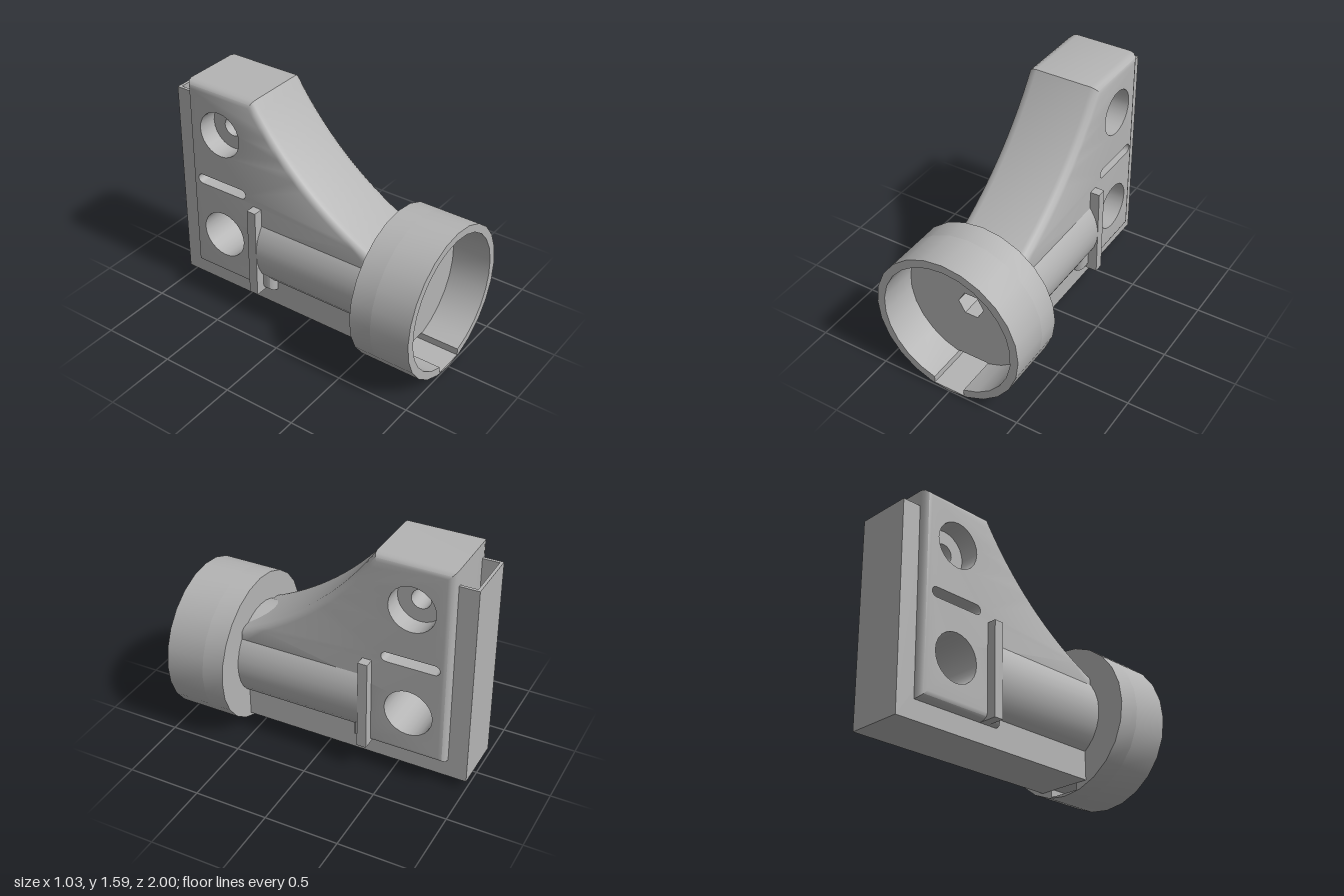
import * as THREE from 'three';
import { toCreasedNormals } from 'three/addons/utils/BufferGeometryUtils.js';

const V = (x, y) => new THREE.Vector2(x, y);

// points of a circular arc
function arc(cx, cy, r, n, from = 0, to = Math.PI * 2) {
  const full = to - from > 6.28;
  return Array.from({ length: full ? n : n + 1 }, (_, i) => {
    const a = from + (to - from) * i / n;
    return V(cx + r * Math.cos(a), cy + r * Math.sin(a));
  });
}

function shapeOf(points, holes = []) {
  const s = new THREE.Shape(points);
  s.holes = holes.map(h => new THREE.Path(h));
  return s;
}

// extrude a front-facing section from z0 to z1
function alongZ(points, holes, z0, z1) {
  return new THREE.ExtrudeGeometry(shapeOf(points, holes), { depth: z1 - z0, bevelEnabled: false }).translate(0, 0, z0);
}

// extrude a side profile (given as -z, y) from x0 to x1
function alongX(points, holes, x0, x1) {
  return new THREE.ExtrudeGeometry(shapeOf(points, holes), { depth: x1 - x0, bevelEnabled: false })
    .rotateY(Math.PI / 2).translate(x0, 0, 0);
}

// move every edge of a counter-clockwise outline inwards by d
function inset(points, d) {
  return points.map((p, i) => {
    const a = points[(i + points.length - 1) % points.length];
    const b = points[(i + 1) % points.length];
    const e = p.clone().sub(a).normalize(), f = b.clone().sub(p).normalize();
    const n1 = V(-e.y, e.x), n2 = V(-f.y, f.x);
    const k = d / (1 + n1.dot(n2));
    return V(p.x + (n1.x + n2.x) * k, p.y + (n1.y + n2.y) * k);
  });
}

// plate across x with rounded outer edges and straight holes
function roundedPlate(points, holes, half, rx, ry) {
  const g = new THREE.ExtrudeGeometry(shapeOf(points, holes), { depth: 7, steps: 7, bevelEnabled: false });
  const levels = [0, 1, 2, 3].map(i => {
    const t = i * Math.PI / 6;
    return { x: half - rx + rx * Math.sin(t), ring: inset(points, ry * (1 - Math.cos(t))) };
  });
  const p = g.attributes.position;
  for (let i = 0; i < p.count; i++) {
    const k = Math.round(p.getZ(i));
    const level = levels[k > 3 ? k - 4 : 3 - k];
    const j = points.findIndex(q => Math.hypot(q.x - p.getX(i), q.y - p.getY(i)) < 1e-4);
    if (j >= 0) p.setXY(i, level.ring[j].x, level.ring[j].y);
    p.setZ(i, k > 3 ? level.x : -level.x);
  }
  return g.rotateY(Math.PI / 2);
}

function box(w, h, d, x, y, z) {
  return new THREE.BoxGeometry(w, h, d).translate(x, y, z);
}

export function createModel() {
  const group = new THREE.Group();
  const grey = new THREE.MeshStandardMaterial({ color: 0xb4b4b4 });
  grey.name = 'grey plastic';

  function add(name, geometry) {
    const flat = geometry.index ? geometry.toNonIndexed() : geometry;
    const mesh = new THREE.Mesh(toCreasedNormals(flat, 0.6), grey);
    mesh.name = name;
    group.add(mesh);
  }

  const cy = 0.52;
  const hex = arc(0, cy, 0.092, 6);
  const outer = arc(0, cy, 0.515, 24);

  // round cup: wall with a notch inside, floor with hex bore and slot
  const gap = Math.asin(0.11 / 0.46);
  const inner = arc(0, cy, 0.46, 24, -Math.PI / 2 + gap, Math.PI * 1.5 - gap);
  inner.push(V(-0.11, 0.025), V(0.11, 0.025));
  add('cupWall', alongZ(outer, [inner], 0.73, 1));
  const slot = [V(-0.11, 0.025), V(0.11, 0.025), V(0.11, 0.08), V(-0.11, 0.08)];
  add('cupFloor', alongZ(outer, [hex, slot], 0.58, 0.73));

  // bored neck and its end flange
  add('neck', alongZ(arc(0, cy, 0.32, 32), [hex], -0.29, 0.58));
  add('flange', box(0.64, 0.64, 0.065, 0, 0.52, -0.3225));

  // swept bracket body with three side openings
  const sweep = new THREE.QuadraticBezierCurve(V(0.35, 1.59), V(0, 1.05), V(-0.58, 0.79));
  const outline = [V(-0.62, 0.64), V(0.22, 0.64), V(0.22, 0.2), V(0.87, 0.2), V(0.87, 1.59),
    ...sweep.getPoints(16), V(-0.62, 0.774)];
  const bolt = arc(0.61, 1.28, 0.157, 24);
  const strapSlot = [...arc(0.775, 0.897, 0.034, 8, -Math.PI / 2, Math.PI / 2),
    ...arc(0.45, 0.897, 0.034, 8, Math.PI / 2, Math.PI * 1.5)];
  const pivot = arc(0.61, cy, 0.164, 24);
  add('body', roundedPlate(outline, [bolt, strapSlot, pivot], 0.255, 0.06, 0.045));
  add('counterboreLedge', alongX(bolt, [arc(0.61, 1.28, 0.065, 20)], -0.12, 0.12));

  // thin-walled channel under the neck and up the back
  const wall = [V(-0.58, 0.07), V(1, 0.07), V(1, 1.48), V(0.84, 1.48), V(0.84, 0.3), V(-0.58, 0.3)];
  for (const s of [-1, 1]) {
    add(s > 0 ? 'channelWallLeft' : 'channelWallRight', alongX(wall, [], s * 0.18 - 0.01, s * 0.18 + 0.01));
  }
  add('channelBottom', box(0.34, 0.02, 1.58, 0, 0.08, -0.21));
  add('channelBack', box(0.34, 1.39, 0.02, 0, 0.785, -0.99));

  return group;
}
